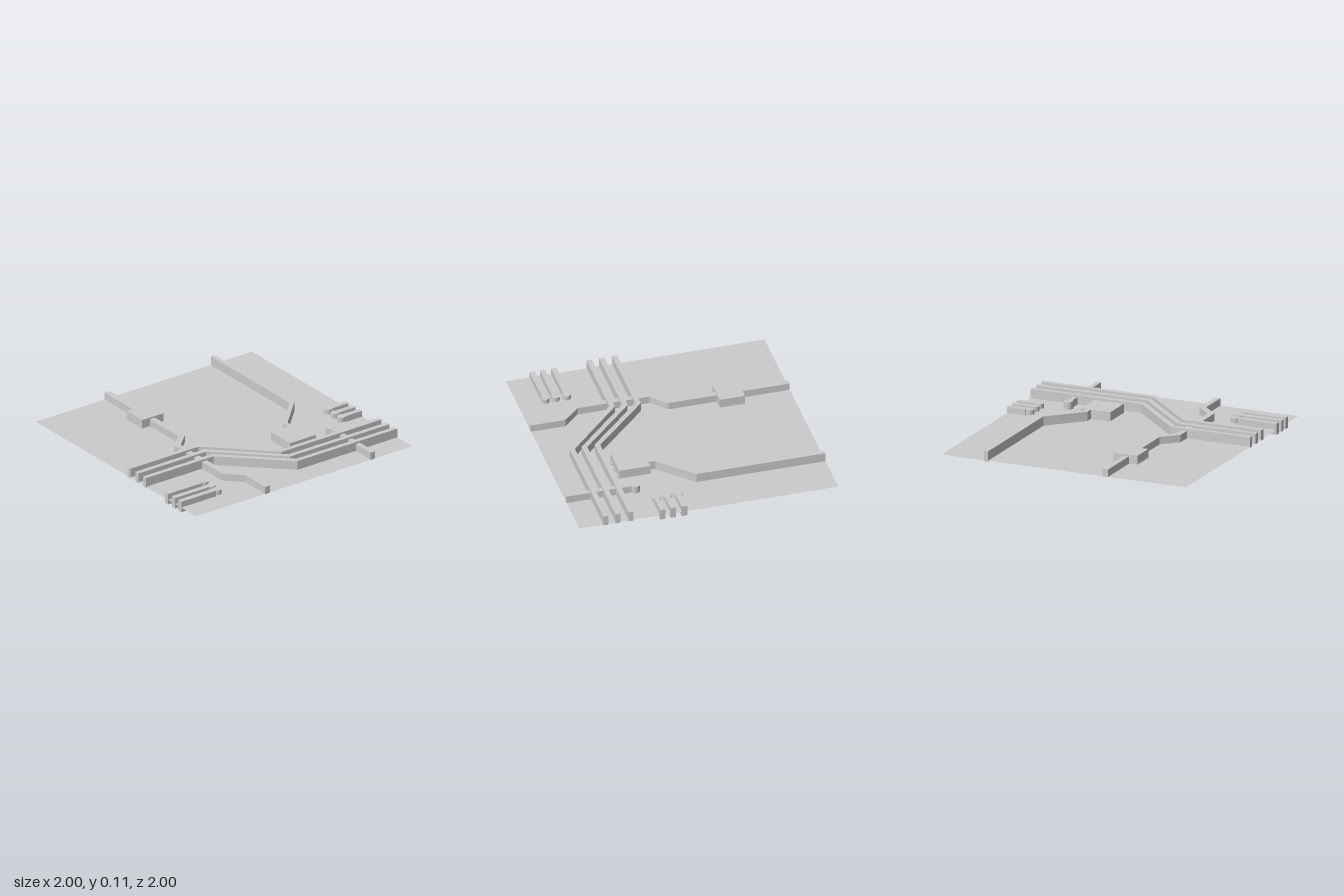
import * as THREE from 'three';

const mat = new THREE.MeshStandardMaterial({ color: 0xcccccc, flatShading: true });
const sheetMat = new THREE.MeshStandardMaterial({ color: 0xcccccc, side: THREE.DoubleSide });

function add(parent, name, geometry, x = 0, y = 0, z = 0, material = mat) {
  const mesh = new THREE.Mesh(geometry, material);
  mesh.name = name;
  mesh.position.set(x, y, z);
  parent.add(mesh);
  return mesh;
}

// Box given by its extents
function block(parent, name, x0, x1, y0, y1, z0, z1) {
  return add(parent, name, new THREE.BoxGeometry(x1 - x0, y1 - y0, z1 - z0),
    (x0 + x1) / 2, (y0 + y1) / 2, (z0 + z1) / 2);
}

// Mitred strip of constant width along a path of [x, z] points
function strip(parent, name, path, width, y0, y1) {
  const pts = path.map(([x, z]) => new THREE.Vector2(x, -z));
  const left = [], right = [];
  pts.forEach((p, i) => {
    const a = pts[Math.max(i - 1, 0)], b = pts[Math.min(i + 1, pts.length - 1)];
    const dIn = (i > 0 ? p.clone().sub(a) : b.clone().sub(p)).normalize();
    const dOut = (i < pts.length - 1 ? b.clone().sub(p) : dIn.clone()).normalize();
    const t = dIn.clone().add(dOut).normalize();
    const n = new THREE.Vector2(-t.y, t.x).multiplyScalar(width / 2 / t.dot(dIn));
    left.push(p.clone().add(n));
    right.unshift(p.clone().sub(n));
  });
  const geo = new THREE.ExtrudeGeometry(new THREE.Shape([...left, ...right]),
    { depth: y1 - y0, bevelEnabled: false });
  geo.rotateX(-Math.PI / 2);
  return add(parent, name, geo, 0, y0, 0);
}

function pad(parent, name, x, z, r, y0, y1) {
  return add(parent, name, new THREE.CylinderGeometry(r, r, y1 - y0, 16), x, (y0 + y1) / 2, z);
}

export function createModel() {
  const board = new THREE.Group();
  board.name = 'circuitBoard';

  // Thin base sheet
  const sheet = new THREE.PlaneGeometry(2, 2).rotateX(-Math.PI / 2);
  add(board, 'baseSheet', sheet, 0, 0.038, 0, sheetMat);

  // Three parallel traces crossing from front to back
  const bundle = new THREE.Group();
  bundle.name = 'traceBundle';
  board.add(bundle);
  [[0.16, 0.6, 0.36, -0.083], [0.26, 0.7, 0.364, -0.083], [0.357, 0.795, 0.37, -0.082]]
    .forEach(([xf, xb, zf, zb]) =>
      strip(bundle, 'bundleTrace', [[xf, 1], [xf, zf], [xb, zb], [xb, -1]], 0.038, 0.03, 0.11));

  // Single traces
  strip(board, 'frontTrace',
    [[-1, 0.34], [-0.072, 0.34], [0.04, 0.46], [0.617, 0.46], [0.742, 0.338], [1, 0.338]],
    0.046, 0.036, 0.095);
  strip(board, 'chipTrace',
    [[-1, -0.637], [-0.01, -0.637], [0.238, -0.39], [0.3, -0.39]], 0.034, 0.03, 0.11);
  strip(board, 'sideTrace', [[0.48, -0.635], [1, -0.635]], 0.038, 0.036, 0.095);
  pad(board, 'sideTracePad', 0.465, -0.637, 0.037, 0.036, 0.095);

  // Edge contacts with round heads, at the front and at the back
  const contacts = (name, xs, zEnd, zHead) => {
    const group = new THREE.Group();
    group.name = name;
    board.add(group);
    xs.forEach((x) => {
      const zStem = zHead + Math.sign(zEnd) * 0.028;
      block(group, 'contactStem', x - 0.021, x + 0.021, 0, 0.086,
        Math.min(zStem, zEnd), Math.max(zStem, zEnd));
      pad(group, 'contactHead', x, zHead, 0.033, 0.05, 0.086);
    });
  };
  contacts('frontContacts', [0.63, 0.717, 0.795], 1, 0.652);
  contacts('backContacts', [0.187, 0.273, 0.354], -1, -0.822);

  // Main chip with three legs on each side
  const chip = new THREE.Group();
  chip.name = 'mainChip';
  board.add(chip);
  block(chip, 'chipBody', 0.295, 0.535, 0.03, 0.108, -0.455, -0.215);
  for (const z of [-0.428, -0.338, -0.252])
    for (const x of [0.292, 0.538])
      block(chip, 'chipLeg', x - 0.008, x + 0.008, 0.036, 0.05, z - 0.017, z + 0.017);

  // Small chip with legs along its front and back
  const small = new THREE.Group();
  small.name = 'smallChip';
  board.add(small);
  block(small, 'smallChipBody', -0.63, -0.437, 0.03, 0.108, 0.235, 0.433);
  for (const x of [-0.598, -0.537, -0.473])
    for (const z of [0.235, 0.433])
      block(small, 'smallChipLeg', x - 0.022, x + 0.022, 0.04, 0.05, z - 0.003, z + 0.003);

  return board;
}
